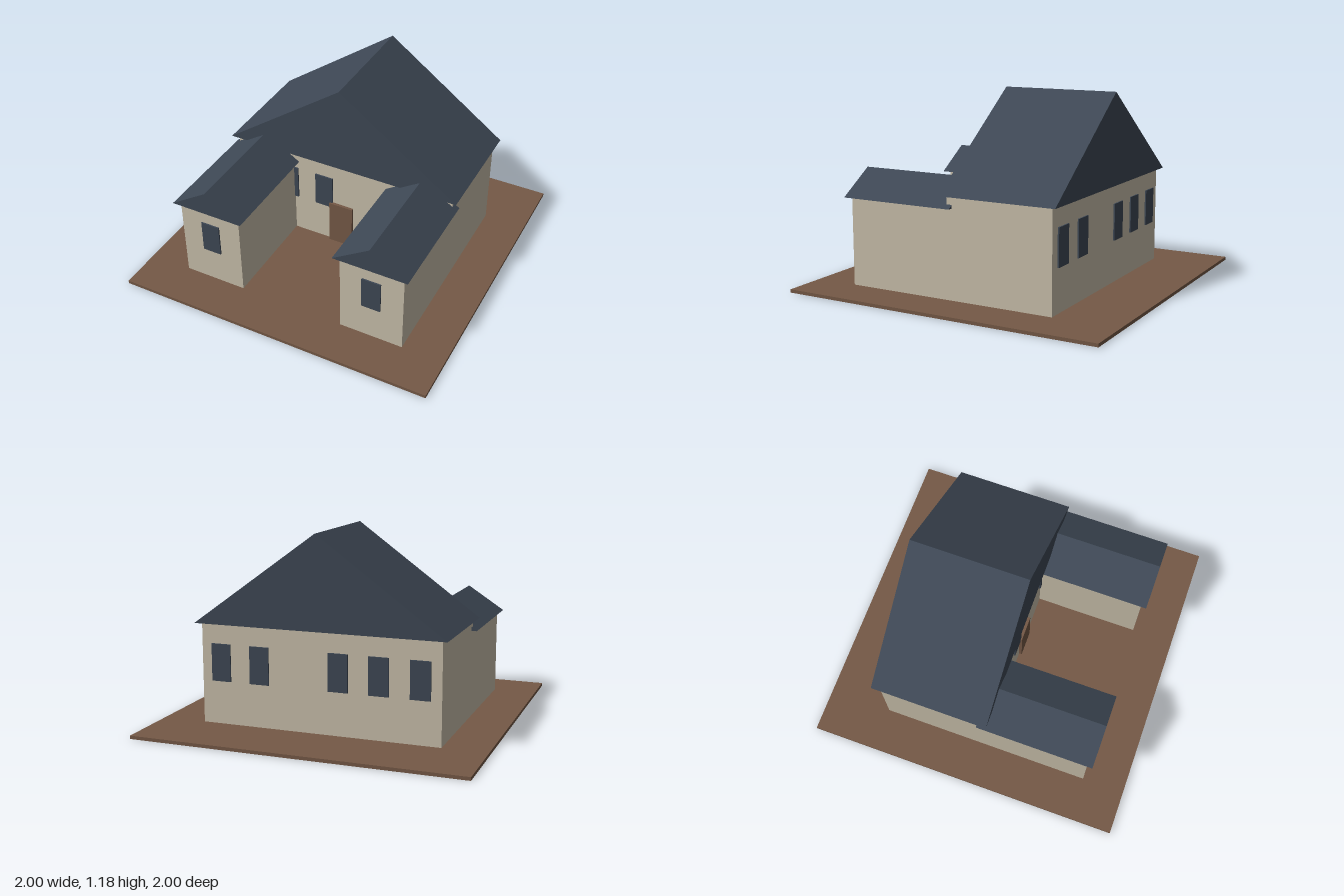
import * as THREE from 'three';

export function createModel() {
  const house = new THREE.Group();
  house.name = 'house';

  const material = (name, color) => {
    const m = new THREE.MeshStandardMaterial({ color });
    m.name = name;
    return m;
  };
  const earth = material('brown', 0x755946);
  const plaster = material('cream', 0xc8beaa);
  const slate = material('slate blue', 0x3e4855);

  const add = (name, geometry, mat) => {
    const mesh = new THREE.Mesh(geometry, mat);
    mesh.name = name;
    house.add(mesh);
    return mesh;
  };

  // Box given by its limits on each axis
  const box = (name, mat, x0, x1, y0, y1, z0, z1) => {
    const mesh = add(name, new THREE.BoxGeometry(x1 - x0, y1 - y0, z1 - z0), mat);
    mesh.position.set((x0 + x1) / 2, (y0 + y1) / 2, (z0 + z1) / 2);
  };

  // Solid gable roof with its ridge along z
  const gable = (name, x, halfWidth, y0, y1, z0, z1) => {
    const triangle = new THREE.Shape([
      new THREE.Vector2(-halfWidth, y0),
      new THREE.Vector2(halfWidth, y0),
      new THREE.Vector2(0, y1),
    ]);
    const geometry = new THREE.ExtrudeGeometry(triangle, { depth: z1 - z0, bevelEnabled: false });
    add(name, geometry, slate).position.set(x, 0, z0);
  };

  // Thin window pane standing out from a wall at z, facing dir
  const pane = (name, x, y0, y1, z, dir) => {
    const out = z + dir * 0.009;
    box(name, slate, x - 0.06, x + 0.06, y0, y1, Math.min(z, out), Math.max(z, out));
  };

  // Ground slab
  box('ground', earth, -1, 1, 0, 0.02, -1, 1);

  // Main building
  box('mainWalls', plaster, -0.733, 0.733, 0.02, 0.625, -0.6, 0.067);
  gable('mainRoof', 0, 0.767, 0.625, 1.18, -0.633, 0.1);
  box('door', earth, -0.08, 0.08, 0.02, 0.317, 0.06, 0.085);

  // Windows of the main building
  for (const x of [-0.61, -0.366, -0.122, 0.366, 0.61]) pane('backWindow', x, 0.28, 0.505, -0.6, -1);
  for (const x of [-0.366, -0.122, 0.366]) pane('frontWindow', x, 0.28, 0.505, 0.067, 1);

  // Two front wings
  for (const side of [-1, 1]) {
    const x = side * 0.533;
    box('wingWalls', plaster, x - 0.2, x + 0.2, 0.02, 0.555, 0.067, 0.733);
    gable('wingRoof', x, 0.233, 0.555, 0.706, 0.034, 0.767);
    pane('wingWindow', x, 0.245, 0.45, 0.733, 1);
  }

  return house;
}
